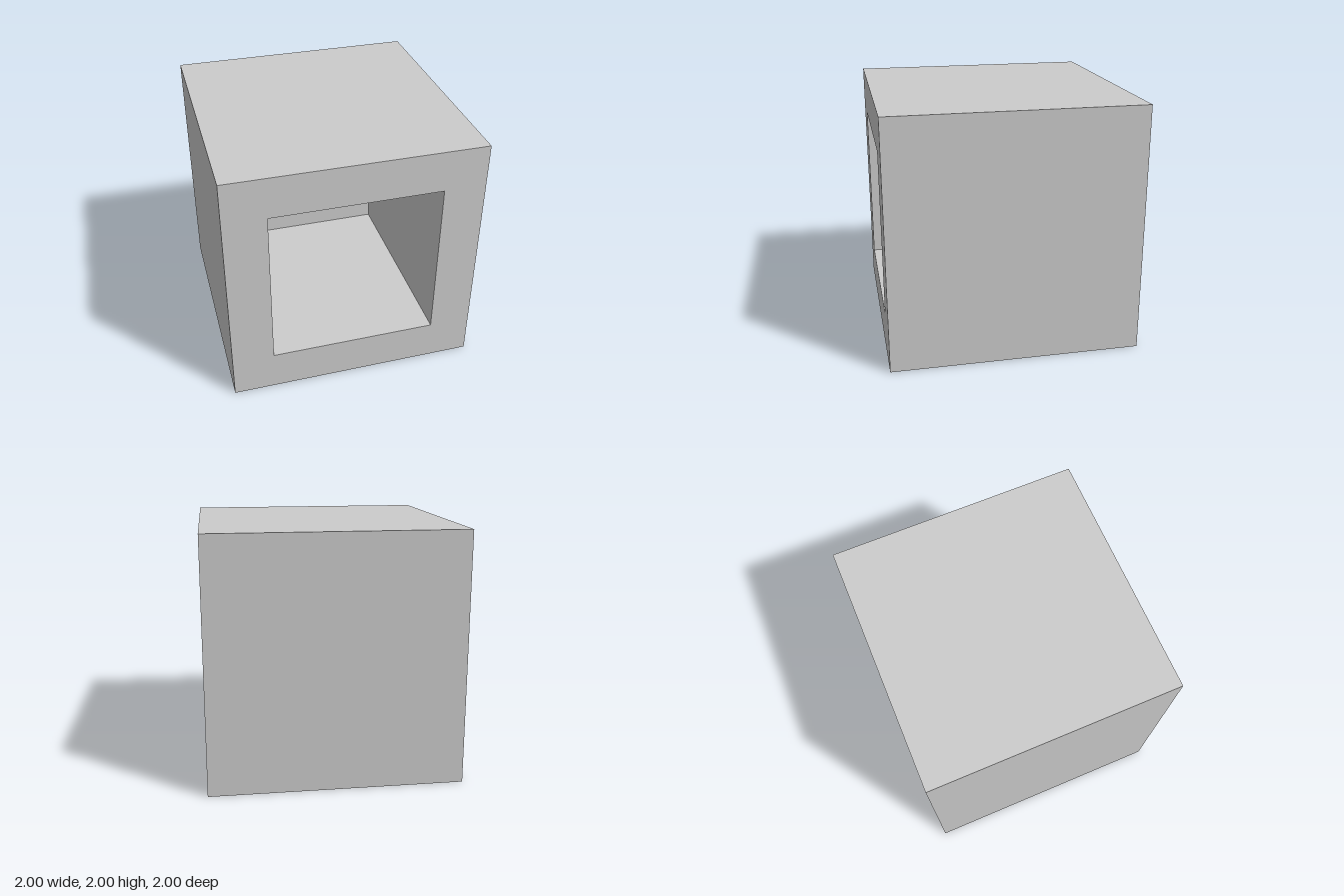
import * as THREE from 'three';

const SIZE = 2, OPENING = 4 / 3, DEPTH = 5 / 3;

// Box without its front (+z) face
function openBox(w, h, d) {
  const geo = new THREE.BoxGeometry(w, h, d);
  const index = Array.from(geo.index.array);
  index.splice(24, 6);
  geo.setIndex(index);
  geo.clearGroups();
  return geo;
}

// Square outline centred on the origin
function square(PathType, size) {
  const s = size / 2;
  return new PathType([[-s, -s], [s, -s], [s, s], [-s, s]].map(([x, y]) => new THREE.Vector2(x, y)));
}

export function createModel() {
  const group = new THREE.Group();
  group.name = 'hollowCube';
  const grey = new THREE.MeshStandardMaterial({ color: 0xcccccc });
  grey.name = 'lightGrey';

  const add = (name, geo, z) => {
    const mesh = new THREE.Mesh(geo, grey);
    mesh.name = name;
    mesh.position.set(0, SIZE / 2, z);
    group.add(mesh);
  };

  // Outer sides, top, bottom and back
  add('outerShell', openBox(SIZE, SIZE, SIZE), 0);

  // Front face with the square opening
  const rim = square(THREE.Shape, SIZE);
  rim.holes.push(square(THREE.Path, OPENING));
  add('frontRim', new THREE.ShapeGeometry(rim), SIZE / 2);

  // Recess: mirrored so that its faces point inward
  const recess = openBox(OPENING, OPENING, DEPTH);
  recess.scale(-1, 1, 1);
  recess.computeVertexNormals();
  add('recess', recess, SIZE / 2 - DEPTH / 2);

  return group;
}
